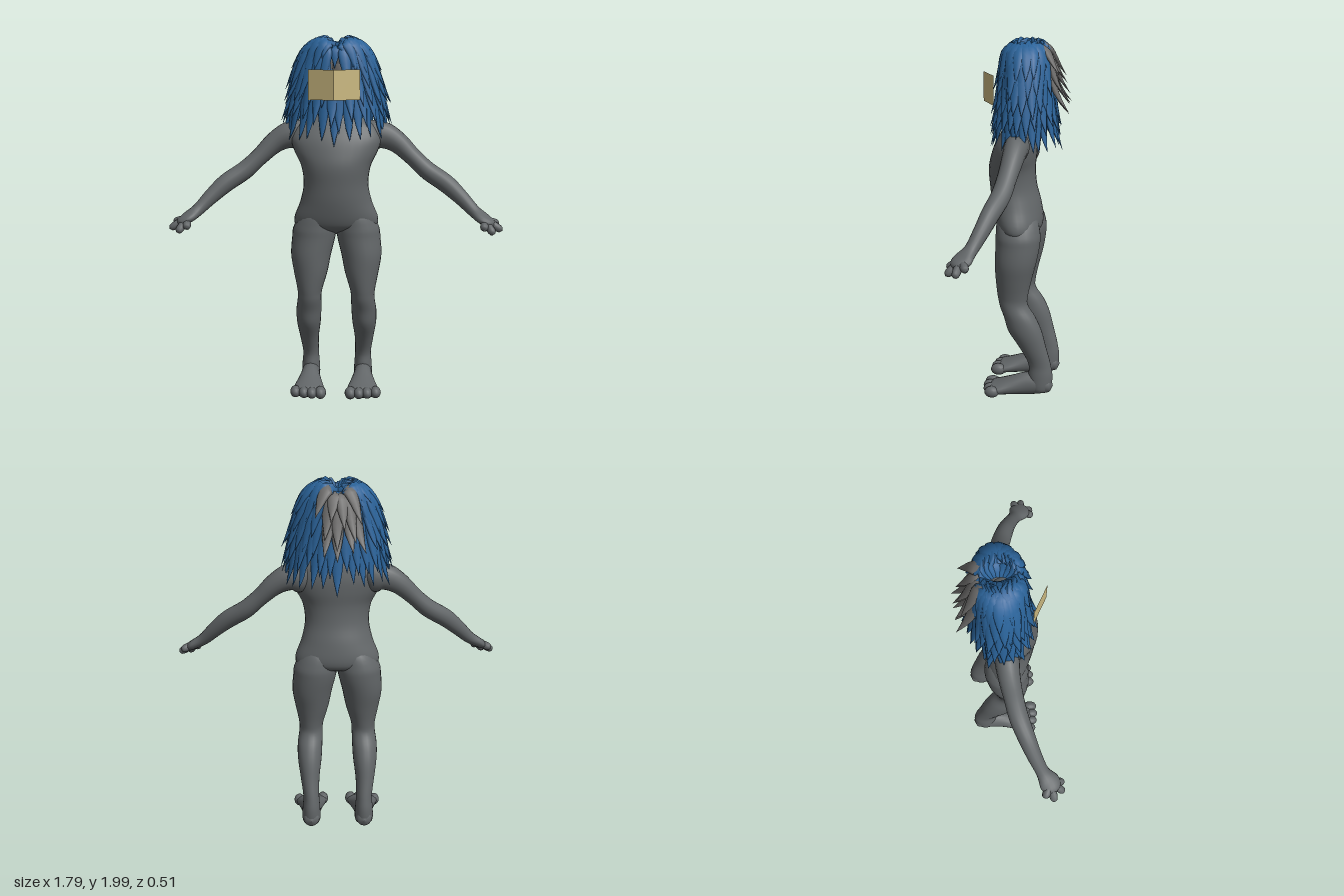
import * as THREE from 'three';

const body = new THREE.MeshStandardMaterial({ name: 'charcoal skin', color: 0x626668 });
const blue = new THREE.MeshStandardMaterial({ name: 'blue hair', color: 0x2a6298 });
const grey = new THREE.MeshStandardMaterial({ name: 'grey hair', color: 0x6c6b6a });
const tan = new THREE.MeshStandardMaterial({ name: 'tan plate', color: 0xcbb981 });

let seed = 7;
const rand = () => ((seed = (seed * 16807) % 2147483647) / 2147483647) - 0.5;

// Smooth closed skin through rows of [x, y, z, radiusA, radiusB].
// A lies along ref x path, B along ref; a fixed axis keeps all rings parallel.
function sweep(rows, ref, rings, sides, axis) {
  const path = new THREE.CatmullRomCurve3(rows.map(r => new THREE.Vector3(r[0], r[1], r[2])));
  const radii = new THREE.CatmullRomCurve3(rows.map(r => new THREE.Vector3(r[3], r[4], 0)), false, 'catmullrom', 0.5);
  const pos = [], index = [];
  for (let i = 0; i <= rings; i++) {
    const k = i / rings, p = path.getPoint(k), r = radii.getPoint(k);
    const t = axis || path.getTangent(k);
    const u = new THREE.Vector3().crossVectors(ref, t).normalize();
    const v = new THREE.Vector3().crossVectors(t, u);
    for (let j = 0; j < sides; j++) {
      const a = j / sides * Math.PI * 2;
      const q = p.clone()
        .addScaledVector(u, Math.cos(a) * Math.max(r.x, 0.0005))
        .addScaledVector(v, Math.sin(a) * Math.max(r.y, 0.0005));
      pos.push(q.x, q.y, q.z);
      if (i < rings) {
        const b = i * sides + (j + 1) % sides, c = i * sides + j;
        index.push(c, b, c + sides, b, b + sides, c + sides);
      }
    }
  }
  const g = new THREE.BufferGeometry();
  g.setAttribute('position', new THREE.Float32BufferAttribute(pos, 3));
  g.setIndex(index);
  g.computeVertexNormals();
  return g;
}

const X = new THREE.Vector3(1, 0, 0), Y = new THREE.Vector3(0, 1, 0), Z = new THREE.Vector3(0, 0, 1);

function add(parent, name, geometry, material) {
  const m = new THREE.Mesh(geometry, material);
  m.name = name;
  parent.add(m);
  return m;
}

// Hair surface: [share of head radius, height], from the parting down
const hairProfile = new THREE.SplineCurve([
  [0.05, 1.96], [0.38, 1.975], [0.68, 1.925], [0.86, 1.82], [0.95, 1.7], [0.98, 1.58], [0.98, 1.44],
].map(p => new THREE.Vector2(...p)));

function lock(theta, start, length, width, flare) {
  const rows = [];
  const widths = [0.35, 0.85, 1, 0.85, 0.5, 0];
  widths.forEach((w, i) => {
    const f = i / 5;
    const p = hairProfile.getPoint(Math.min(start + length * f, 1));
    const out = flare * f ** 2.5;
    const x = Math.cos(theta) * (0.25 * p.x + out);
    const z = -0.01 + Math.sin(theta) * (0.14 * p.x ** 0.4 + out);
    const y = p.y - 0.045 * Math.exp(-((x / 0.04) ** 2));
    rows.push([x, y, z, width * w, width * w * 0.45]);
  });
  const ref = new THREE.Vector3(Math.cos(theta), 0.35, Math.sin(theta)).normalize();
  return sweep(rows, ref, 9, 8);
}

export function createModel() {
  const model = new THREE.Group();
  model.name = 'figure';

  // Torso, from hips to neck stump: [y, z, half width, half depth]
  add(model, 'torso', sweep([
    [0.91, 0.02, 0.001, 0.001], [0.95, 0.022, 0.2, 0.1], [1, 0.027, 0.232, 0.128], [1.1, 0.045, 0.197, 0.135],
    [1.2, 0.063, 0.177, 0.128], [1.3, 0.07, 0.19, 0.127], [1.38, 0.058, 0.228, 0.122],
    [1.45, 0.045, 0.245, 0.11], [1.52, 0.03, 0.21, 0.085], [1.57, 0.02, 0.11, 0.065],
    [1.62, 0.02, 0.06, 0.05], [1.64, 0.02, 0.001, 0.001],
  ].map(([y, z, a, b]) => [0, y, z, a, b]), Z, 48, 32, Y), body);

  for (const s of [1, -1]) {
    const side = s > 0 ? 'left' : 'right';
    const flip = rows => rows.map(([x, ...rest]) => [x * s, ...rest]);

    // Leg, sole to hip
    add(model, side + 'Leg', sweep(flip([
      [0.15, 0.025, -0.11, 0.001, 0.001], [0.15, 0.05, -0.11, 0.048, 0.058], [0.15, 0.13, -0.112, 0.05, 0.068],
      [0.15, 0.2, -0.107, 0.045, 0.063], [0.156, 0.3, -0.07, 0.053, 0.075], [0.157, 0.4, -0.025, 0.067, 0.094],
      [0.155, 0.48, 0.005, 0.07, 0.088], [0.149, 0.55, 0.04, 0.066, 0.079], [0.147, 0.6, 0.045, 0.069, 0.084],
      [0.142, 0.7, 0.04, 0.093, 0.1], [0.14, 0.8, 0.03, 0.111, 0.115], [0.125, 0.9, 0.02, 0.12, 0.122],
      [0.118, 0.96, 0.02, 0.117, 0.122], [0.1, 1.05, 0.03, 0.08, 0.1], [0.09, 1.1, 0.04, 0.001, 0.001],
    ]), Z, 56, 24, Y), body);

    // Foot, heel to ball, and toes
    add(model, side + 'Foot', sweep(flip([
      [0.15, 0.075, -0.183, 0.001, 0.001], [0.15, 0.078, -0.165, 0.04, 0.04], [0.15, 0.082, -0.1, 0.05, 0.06],
      [0.15, 0.077, -0.02, 0.055, 0.065], [0.15, 0.062, 0.06, 0.072, 0.05], [0.15, 0.048, 0.13, 0.088, 0.037],
      [0.15, 0.042, 0.17, 0.08, 0.028], [0.15, 0.04, 0.185, 0.001, 0.001],
    ]), Y, 28, 20, Z), body);
    [[0.083, 0.172, 0.032], [0.13, 0.178, 0.029], [0.175, 0.17, 0.029], [0.222, 0.155, 0.03]].forEach(([x, z, r], i) => {
      const toe = add(model, `${side}Toe${i + 1}`, new THREE.SphereGeometry(r, 14, 10), body);
      toe.scale.set(1, 1.08, 1.4);
      toe.position.set(s * x, 0.043, z);
    });

    // Arm, shoulder to wrist, ending in a flat palm
    add(model, side + 'Arm', sweep(flip([
      [0.12, 1.44, 0.01, 0.001, 0.001], [0.18, 1.455, 0.01, 0.06, 0.08], [0.25, 1.462, 0.008, 0.064, 0.075],
      [0.33, 1.425, 0.012, 0.058, 0.06], [0.42, 1.343, 0.028, 0.052, 0.048], [0.5, 1.27, 0.046, 0.052, 0.05],
      [0.6, 1.203, 0.08, 0.047, 0.05], [0.68, 1.132, 0.113, 0.04, 0.042], [0.75, 1.062, 0.15, 0.037, 0.033],
      [0.8, 1.025, 0.182, 0.058, 0.028], [0.84, 1, 0.2, 0.04, 0.022], [0.855, 0.99, 0.207, 0.001, 0.001],
    ]), Y, 48, 18), body);

    // Thumb and fingers
    [[0.795, 0.985, 0.25], [0.838, 0.965, 0.248], [0.882, 0.975, 0.2], [0.868, 1, 0.155]].forEach(([x, y, z], i) => {
      const from = [0.8, 1.025, 0.188], at = k => [x, y, z].map((e, n) => from[n] + (e - from[n]) * k);
      add(model, `${side}Finger${i + 1}`, sweep(flip([
        [...at(0), 0.015, 0.015], [...at(0.5), 0.021, 0.021], [...at(0.85), 0.022, 0.022],
        [...at(1.08), 0.016, 0.016], [...at(1.17), 0.001, 0.001],
      ]), i === 0 ? X : Y, 14, 10), body);
    });
  }

  // Hair in overlapping layers: [start, length, locks, half width, flare]
  const hair = new THREE.Group();
  hair.name = 'hair';
  model.add(hair);
  [
    [0, 0.42, 20, 0.033, 0.015], [0.1, 0.42, 20, 0.036, 0.025], [0.24, 0.4, 24, 0.035, 0.035],
    [0.36, 0.4, 26, 0.034, 0.05], [0.48, 0.4, 26, 0.034, 0.055], [0.57, 0.41, 26, 0.034, 0.05],
  ].forEach(([start, length, count, width, flare], layer) => {
    for (let i = 0; i < count; i++) {
      const theta = (i + (layer % 2) / 2) / count * Math.PI * 2 + rand() * 0.12;
      const sin = Math.sin(theta), fromMid = Math.abs(Math.cos(theta));
      // open face behind the plates
      if (sin > 0 && fromMid < 0.22 && layer > 0 && layer < 4) continue;
      const isGrey = sin < 0 && fromMid < 0.42 && layer > 0 && layer < 4;
      const l = length * (1 + rand() * 0.14);
      add(hair, isGrey ? 'greyLock' : 'blueLock',
        lock(theta, start, l, width, (isGrey ? flare + 0.05 : flare) + rand() * 0.02),
        isGrey ? grey : blue);
    }
  });

  // Two thin face plates meeting in a forward ridge
  for (const s of [1, -1]) {
    const plate = add(model, s > 0 ? 'leftFacePlate' : 'rightFacePlate',
      new THREE.PlaneGeometry(Math.hypot(0.138, 0.08), 0.16), tan);
    plate.position.set(-0.008 + s * 0.069, 1.74, 0.188);
    plate.rotation.y = s * Math.atan2(0.08, 0.138);
  }
  return model;
}
